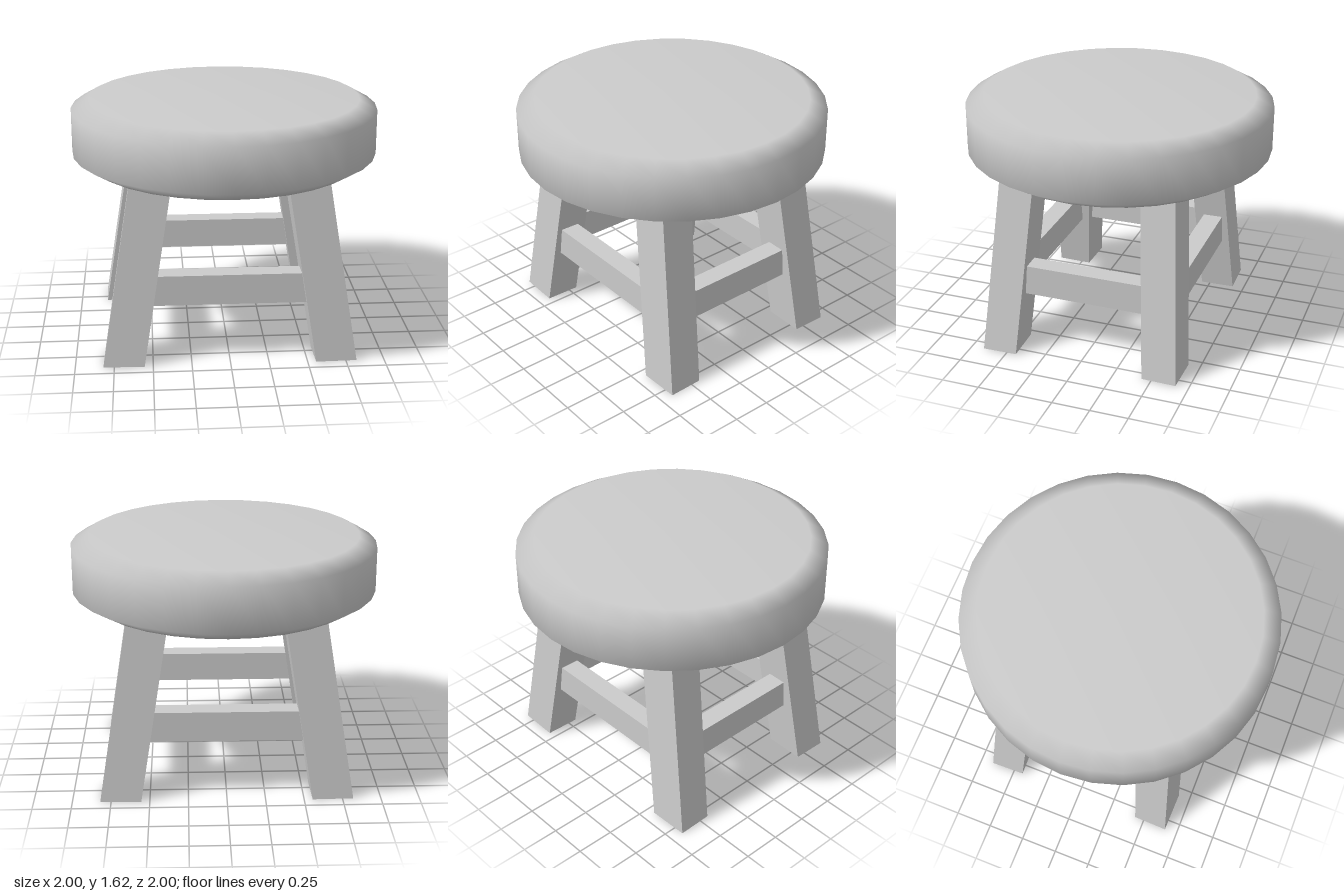
import * as THREE from 'three';

const material = new THREE.MeshStandardMaterial({ color: 0xcccccc });
const woodMaterial = new THREE.MeshStandardMaterial({ color: 0xcccccc, flatShading: true });

function add(parent, name, geometry, mat) {
  const mesh = new THREE.Mesh(geometry, mat);
  mesh.name = name;
  parent.add(mesh);
  return mesh;
}

// Splayed square post: a box sheared inward as it rises, with level ends
function legGeometry(sx, sz) {
  const height = 1.26, skew = 0.012;
  const geometry = new THREE.BoxGeometry(0.265, height, 0.228);
  geometry.translate(0, height / 2, 0);
  const p = geometry.attributes.position;
  for (let i = 0; i < p.count; i++) {
    const x = p.getX(i), y = p.getY(i), z = p.getZ(i);
    // slight diamond skew from leaning in two directions
    const dx = x + sx * sz * z * skew * 2;
    const dz = z - sx * sz * x * skew * 2;
    p.setXYZ(i, sx * (0.685 - 0.159 * y) + dx, y, sz * (0.553 - 0.068 * y) + dz);
  }
  geometry.computeVertexNormals();
  return geometry;
}

export function createModel() {
  const model = new THREE.Group();
  model.name = 'stool';

  // Round seat with bevelled, smoothly shaded rims
  const profile = [[0, 1.19], [0.885, 1.19], [1, 1.26], [1, 1.55], [0.885, 1.615], [0, 1.615]]
    .map(([r, y]) => new THREE.Vector2(r, y));
  add(model, 'seat', new THREE.LatheGeometry(profile, 32), material);

  // Four splayed legs
  for (const sx of [-1, 1]) {
    for (const sz of [-1, 1]) {
      const name = (sz > 0 ? 'front' : 'back') + (sx > 0 ? 'Left' : 'Right') + 'Leg';
      add(model, name, legGeometry(sx, sz), woodMaterial);
    }
  }

  // Stretchers joining neighbouring legs
  for (const s of [-1, 1]) {
    add(model, s > 0 ? 'frontStretcher' : 'backStretcher',
      new THREE.BoxGeometry(1.1, 0.2, 0.13), woodMaterial).position.set(0, 0.49, s * 0.53);
    add(model, s > 0 ? 'leftStretcher' : 'rightStretcher',
      new THREE.BoxGeometry(0.13, 0.2, 0.94), woodMaterial).position.set(s * 0.61, 0.49, 0);
  }
  return model;
}
